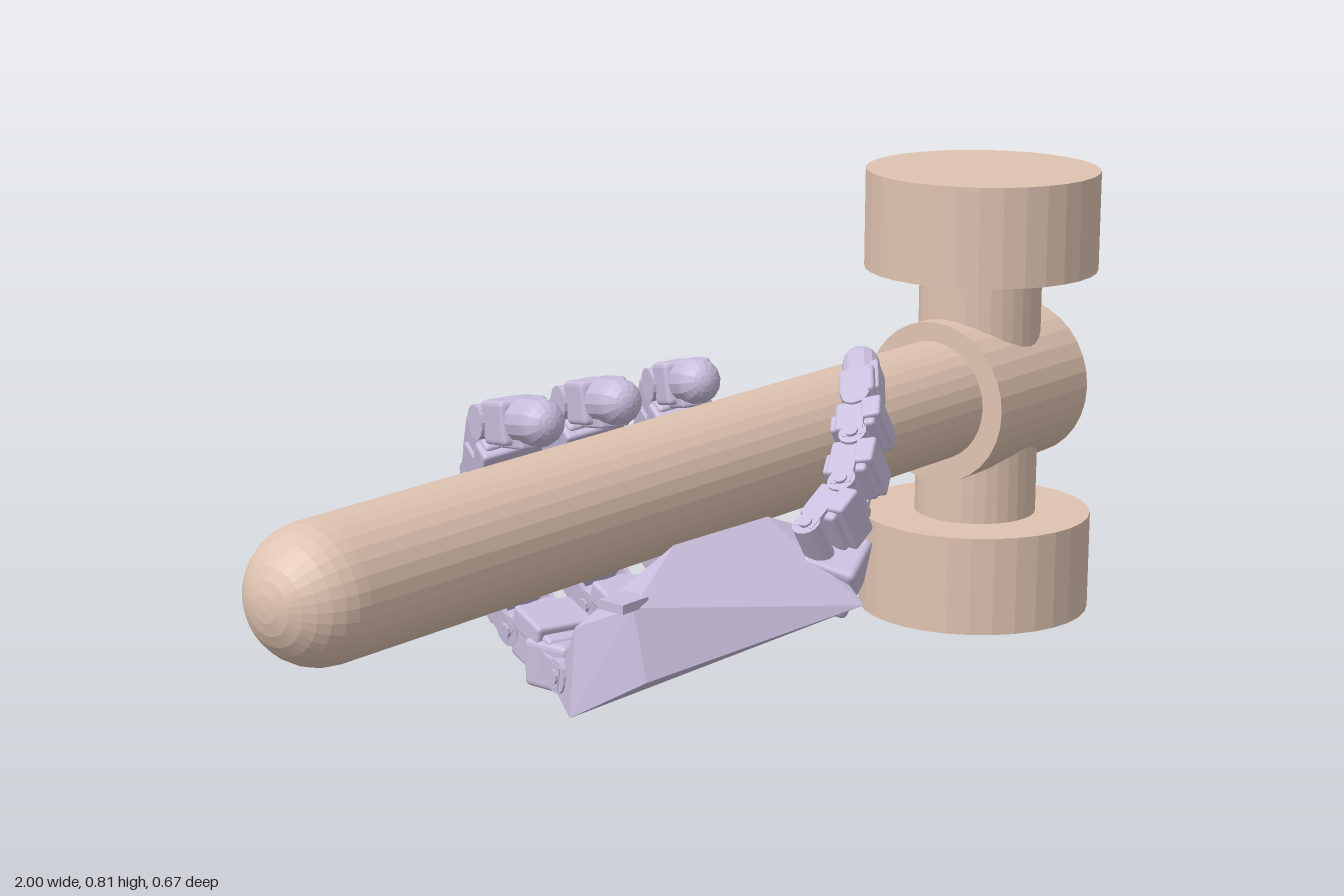
import * as THREE from 'three';
import { RoundedBoxGeometry } from 'three/addons/geometries/RoundedBoxGeometry.js';
import { ConvexGeometry } from 'three/addons/geometries/ConvexGeometry.js';

const tan = new THREE.MeshStandardMaterial({ color: 0xdfc3b1, flatShading: true });
const lilac = new THREE.MeshStandardMaterial({ color: 0xc9bedd, flatShading: true });
const V = (x, y, z) => new THREE.Vector3(x, y, z);

function add(parent, name, geometry, material, x = 0, y = 0, z = 0) {
  const mesh = new THREE.Mesh(geometry, material);
  mesh.name = name;
  mesh.position.set(x, y, z);
  parent.add(mesh);
  return mesh;
}

// Hammer: domed handle, collar, and two vertical striking faces on a neck
function makeHammer() {
  const hammer = new THREE.Group();
  hammer.name = 'hammer';

  const profile = [];
  const r = 0.107;
  for (let i = 0; i <= 8; i++) {
    const a = (i / 8) * Math.PI / 2;
    profile.push(new THREE.Vector2(r * Math.sin(a), -r * Math.cos(a)));
  }
  profile.push(new THREE.Vector2(r, 1.6));
  const handle = add(hammer, 'handle', new THREE.LatheGeometry(profile, 32), tan, -0.893, 0.421, 0.01);
  handle.quaternion.setFromUnitVectors(V(0, 1, 0), V(1.6, -0.012, -0.035).normalize());

  const head = new THREE.Group();
  head.name = 'head';
  head.position.set(0.784, 0.405, -0.024);
  head.rotation.z = -0.008;
  hammer.add(head);
  const collar = add(head, 'collar', new THREE.CylinderGeometry(0.145, 0.145, 0.28, 32), tan);
  collar.rotation.z = Math.PI / 2;
  collar.rotation.y = 0.02;
  add(head, 'neck', new THREE.CylinderGeometry(0.11, 0.11, 0.5, 32), tan);
  for (const s of [-1, 1]) {
    add(head, 'strikingFace', new THREE.CylinderGeometry(0.21, 0.21, 0.178, 32), tan, 0, s * 0.314, 0);
  }
  return hammer;
}

// Group whose local z runs from a to b and whose local x follows the hinge axis
function frame(a, b, side) {
  const z = b.clone().sub(a).normalize();
  const x = side.clone().addScaledVector(z, -side.dot(z)).normalize();
  const y = z.clone().cross(x);
  const g = new THREE.Group();
  g.quaternion.setFromRotationMatrix(new THREE.Matrix4().makeBasis(x, y, z));
  g.position.copy(a);
  return g;
}

// One phalanx: hinge barrel, fork plates, motor housing, raised cover and screws
function makeLink(a, b, side, w, outward) {
  const L = a.distanceTo(b);
  const g = frame(a, b, side);
  g.name = 'fingerLink';
  const hinge = add(g, 'hinge', new THREE.CylinderGeometry(w * 0.27, w * 0.27, w * 0.95, 14), lilac);
  hinge.rotation.z = Math.PI / 2;
  add(g, 'housing', new RoundedBoxGeometry(w * 0.84, w * 0.78, L * 0.68, 2, w * 0.07), lilac, 0, 0, L * 0.56);
  add(g, 'cover', new RoundedBoxGeometry(w, w * 0.38, L * 0.5, 2, w * 0.06), lilac, 0, outward * w * 0.32, L * 0.6);
  add(g, 'innerPad', new RoundedBoxGeometry(w * 0.55, w * 0.2, L * 0.4, 2, w * 0.05), lilac, 0, -outward * w * 0.42, L * 0.55);
  for (const s of [-1, 1]) {
    add(g, 'forkPlate', new THREE.BoxGeometry(w * 0.09, w * 0.4, L * 0.6), lilac, s * w * 0.44, 0, L * 0.22);
    const screw = add(g, 'screw', new THREE.CylinderGeometry(w * 0.12, w * 0.12, w * 0.06, 10), lilac, s * w * 0.5, 0, 0);
    screw.rotation.z = Math.PI / 2;
  }
  return g;
}

// Rounded last joint
function makeTip(a, b, side, w, outward) {
  const L = a.distanceTo(b);
  const g = frame(a, b, side);
  g.name = 'fingertip';
  const hinge = add(g, 'hinge', new THREE.CylinderGeometry(w * 0.27, w * 0.27, w * 0.9, 14), lilac);
  hinge.rotation.z = Math.PI / 2;
  add(g, 'socket', new RoundedBoxGeometry(w * 0.8, w * 0.68, L * 0.4, 2, w * 0.08), lilac, 0, 0, L * 0.28);
  add(g, 'nailPlate', new RoundedBoxGeometry(w * 0.5, w * 0.2, L * 0.45, 2, w * 0.05), lilac, 0, outward * w * 0.3, L * 0.4);
  const r = w * 0.36;
  const pad = add(g, 'pad', new THREE.CapsuleGeometry(r, L * 0.6, 6, 14), lilac, 0, 0, L * 0.95 - r - L * 0.3);
  pad.rotation.x = Math.PI / 2;
  return g;
}

function makeDigit(name, points, side, w, outward) {
  const digit = new THREE.Group();
  digit.name = name;
  points.slice(0, -1).forEach((p, i) => {
    const make = i === points.length - 2 ? makeTip : makeLink;
    digit.add(make(p, points[i + 1], side, w, outward));
  });
  return digit;
}

function makeHand() {
  const hand = new THREE.Group();
  hand.name = 'hand';

  // Wedge-shaped palm under and in front of the handle
  add(hand, 'palm', new ConvexGeometry([
    V(-0.37, 0.30, 0.15), V(-0.25, 0.37, 0.13), V(-0.03, 0.37, 0.14), V(0.04, 0.34, 0.17),
    V(-0.035, 0.262, 0.338), V(-0.38, 0.19, 0.185), V(-0.385, 0.10, 0.03), V(0.06, 0.19, 0.19),
    V(0.09, 0.15, 0.02), V(-0.32, 0.11, -0.06), V(0.09, 0.16, -0.07), V(-0.36, 0.24, 0.02),
    V(0.07, 0.25, 0.02),
  ]), lilac);
  add(hand, 'wristTab', new THREE.BoxGeometry(0.06, 0.015, 0.05), lilac, -0.37, 0.305, 0.13);

  // Three fingers passing below and behind the handle, ending on top of it
  const hinge = V(0.95, 0, 0.3).normalize();
  for (const [dx, dz] of [[-0.27, 0], [-0.09, 0.015], [0.1, 0.045]]) {
    hand.add(makeDigit('finger', [
      V(dx - 0.03, 0.145, -0.02),
      V(dx + 0.02, 0.185, -0.175 + dz / 2),
      V(dx + 0.03, 0.285, -0.285 + dz / 2),
      V(dx + 0.02, 0.425, -0.25 + dz),
      V(dx - 0.025, 0.53, -0.19 + dz),
      V(dx - 0.1, 0.565, -0.01),
    ], hinge, 0.105, -1));
    add(hand, 'knuckle', new RoundedBoxGeometry(0.11, 0.08, 0.09, 2, 0.01), lilac, dx - 0.01, 0.15, -0.07);
  }

  // Thumb rising across the front of the handle
  const base = add(hand, 'thumbBase', new RoundedBoxGeometry(0.1, 0.1, 0.09, 2, 0.01), lilac, 0.02, 0.285, 0.235);
  base.rotation.set(0.3, 0.4, 0.3);
  hand.add(makeDigit('thumb', [
    V(-0.03, 0.345, 0.235), V(0.06, 0.40, 0.235), V(0.14, 0.455, 0.195), V(0.205, 0.50, 0.15), V(0.325, 0.568, 0.055),
  ], V(-0.5, 0.86, 0), 0.088, 1));
  return hand;
}

export function createModel() {
  const model = new THREE.Group();
  model.name = 'handHoldingHammer';
  model.add(makeHammer(), makeHand());
  return model;
}
